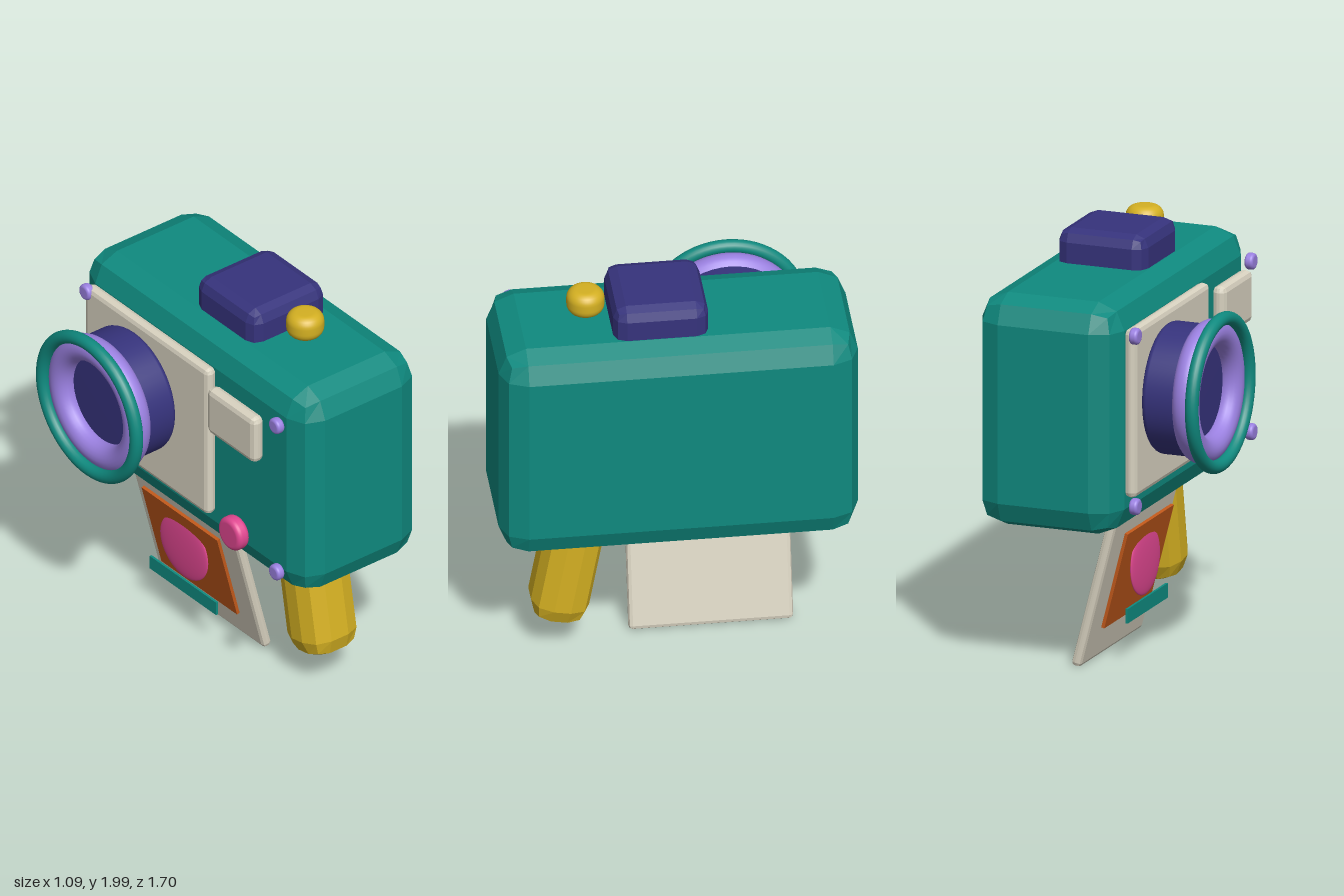
import * as THREE from 'three';
import { RoundedBoxGeometry } from 'three/addons/geometries/RoundedBoxGeometry.js';

const mat = (name, color) => {
  const m = new THREE.MeshStandardMaterial({ color });
  m.name = name;
  return m;
};

export function createModel() {
  const teal = mat('teal', 0x0f8a7f);
  const navy = mat('navy', 0x36337c);
  const cream = mat('cream', 0xd8d2c0);
  const gold = mat('gold', 0xd4b022);
  const lilac = mat('lilac', 0x9a80e0);
  const pink = mat('pink', 0xde468f);
  const orange = mat('orange', 0xc2591b);

  const model = new THREE.Group();
  model.name = 'instantCamera';

  const add = (name, geometry, material, x, y, z) => {
    const mesh = new THREE.Mesh(geometry, material);
    mesh.name = name;
    mesh.position.set(x, y, z);
    model.add(mesh);
    return mesh;
  };

  // box with faceted, two-step bevels
  const bevelBox = (w, h, d, r) => {
    const g = new RoundedBoxGeometry(w, h, d, 1, r);
    g.computeVertexNormals();
    return g;
  };

  // smooth cylinder with rounded rims, standing on y
  const roundCylinder = (radius, height, r) => {
    const pts = [new THREE.Vector2(0, -height / 2)];
    for (const side of [-1, 1]) {
      for (let i = 0; i <= 6; i++) {
        const a = (side < 0 ? i / 6 - 1 : i / 6) * Math.PI / 2;
        pts.push(new THREE.Vector2(radius - r + r * Math.cos(a), side * (height / 2 - r) + r * Math.sin(a)));
      }
    }
    pts.push(new THREE.Vector2(0, height / 2));
    return new THREE.LatheGeometry(pts, 48);
  };
  const alongX = (radius, width, r) => roundCylinder(radius, width, r).rotateZ(Math.PI / 2);
  const ringX = (radius, tube) => new THREE.TorusGeometry(radius, tube, 20, 64).rotateY(Math.PI / 2);

  // body, viewfinder and shutter
  add('body', bevelBox(0.72, 1.13, 1.7, 0.13), teal, 0.18, 1.275, 0);
  add('viewfinder', bevelBox(0.45, 0.3, 0.45, 0.06), navy, 0.182, 1.85, 0.075);
  add('shutterButton', roundCylinder(0.09, 0.13, 0.05), gold, 0.18, 1.935, 0.41);

  // slanted handle
  const grip = add('grip', bevelBox(0.3, 0.75, 0.28, 0.1), gold, 0.18, 0.533, 0.487);
  grip.rotation.x = -0.18;

  // face of the camera, towards -x
  add('facePlate', bevelBox(0.06, 0.82, 0.93, 0.025), cream, -0.21, 1.31, -0.265);
  add('flashWindow', bevelBox(0.07, 0.25, 0.36, 0.028), cream, -0.256, 1.557, 0.432);
  add('faceButton', alongX(0.085, 0.07, 0.025), pink, -0.256, 0.935, 0.42);
  for (const y of [0.86, 1.69]) {
    for (const z of [-0.715, 0.715]) add('screw', alongX(0.04, 0.044, 0.015), lilac, -0.234, y, z);
  }

  // lens
  const ly = 1.35, lz = -0.345;
  add('lensBarrel', alongX(0.315, 0.2, 0.03), navy, -0.335, ly, lz);
  add('lensInnerRing', ringX(0.28, 0.065), lilac, -0.452, ly, lz);
  add('lensOuterRing', ringX(0.3525, 0.0325), teal, -0.513, ly, lz);

  // ejected photo, leaning out under the body
  const tilt = 0.25;
  const card = add('photoCard', bevelBox(0.05, 0.9, 0.78, 0.02), cream, 0.018, 0.443, -0.19);
  card.rotation.z = tilt;
  const picture = add('photoPicture', new THREE.BoxGeometry(0.016, 0.485, 0.57), orange, -0.03, 0.415, -0.19);
  picture.rotation.z = tilt;
  const spot = add('photoSpot', new THREE.SphereGeometry(1, 40, 24), pink, -0.068, 0.445, -0.19);
  spot.scale.set(0.018, 0.163, 0.18);
  add('photoStripe', new THREE.BoxGeometry(0.012, 0.07, 0.5), teal, -0.074, 0.237, -0.185);

  return model;
}
